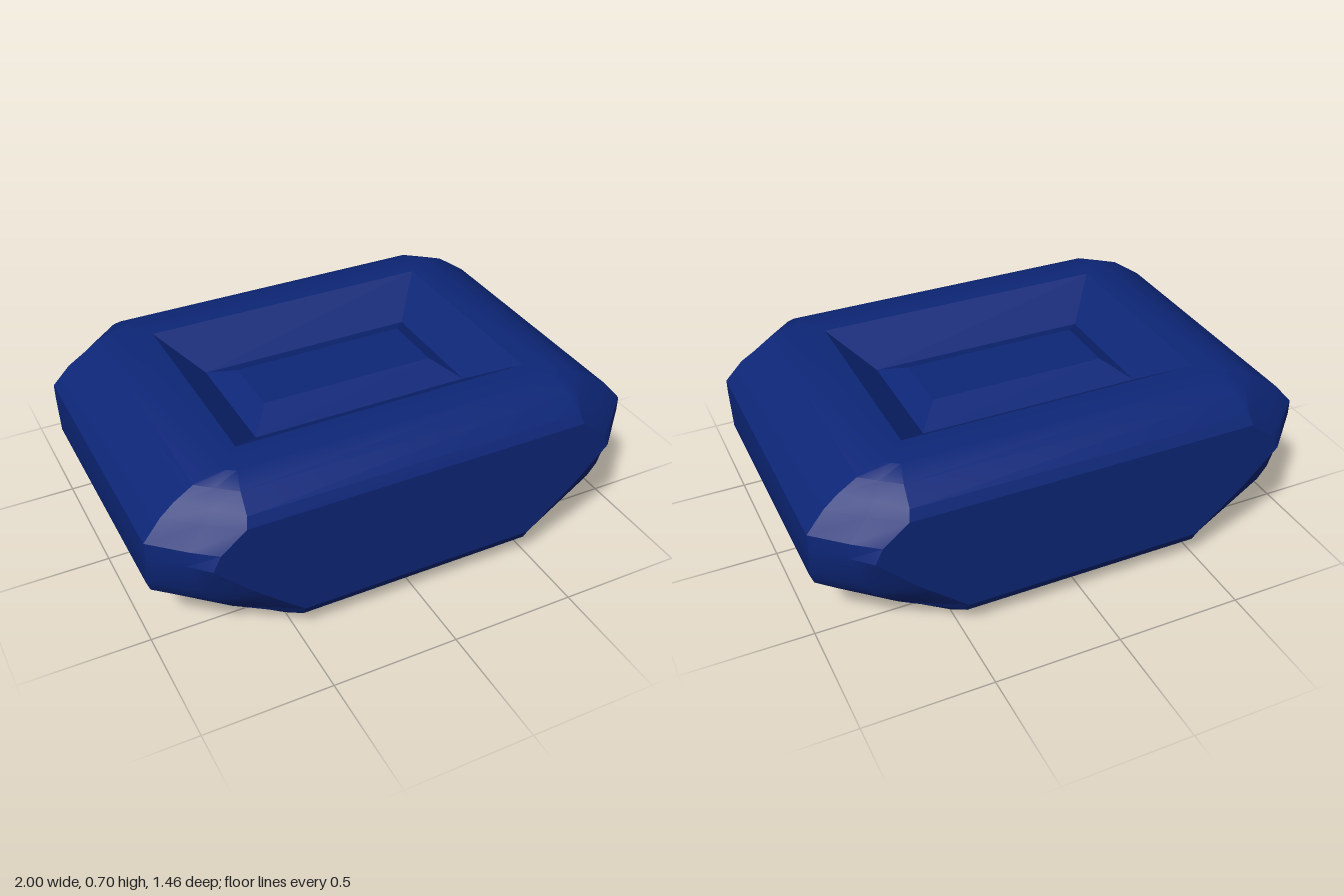
import * as THREE from 'three';
import { toCreasedNormals } from 'three/addons/utils/BufferGeometryUtils.js';

// Mirror the points of the +x +z corner into a full ring
function ring(y, corner) {
  const back = [...corner].reverse();
  const flip = (pts, sx, sz) => pts.map(([x, z]) => new THREE.Vector3(x * sx, y, z * sz));
  return [...flip(corner, 1, 1), ...flip(back, -1, 1), ...flip(corner, -1, -1), ...flip(back, 1, -1)];
}

// Skin a list of rings, optionally closing the first and last
function loft(rings, { capStart = false, capEnd = false, crease = 0.4 } = {}) {
  const pos = [];
  const tri = (a, b, c) => {
    if (new THREE.Triangle(a, b, c).getArea() > 1e-7) {
      for (const p of [a, b, c]) pos.push(p.x, p.y, p.z);
    }
  };
  const n = rings[0].length;
  for (let i = 0; i < rings.length - 1; i++) {
    for (let j = 0; j < n; j++) {
      const k = (j + 1) % n;
      const lo = rings[i], hi = rings[i + 1];
      tri(lo[j], hi[j], lo[k]);
      tri(lo[k], hi[j], hi[k]);
    }
  }
  const first = rings[0], last = rings[rings.length - 1];
  for (let j = 0; j < n; j++) {
    const k = (j + 1) % n;
    if (capStart) tri(new THREE.Vector3(0, first[0].y, 0), first[j], first[k]);
    if (capEnd) tri(new THREE.Vector3(0, last[0].y, 0), last[k], last[j]);
  }
  const geo = new THREE.BufferGeometry();
  geo.setAttribute('position', new THREE.Float32BufferAttribute(pos, 3));
  return toCreasedNormals(geo, crease);
}

export function createModel() {
  const group = new THREE.Group();
  const blue = new THREE.MeshStandardMaterial({ color: 0x0d2677 });
  blue.name = 'deep blue';
  const add = (name, geometry) => {
    const mesh = new THREE.Mesh(geometry, blue);
    mesh.name = name;
    group.add(mesh);
  };

  // Cut corner at each height: y, side point, corner point, front point
  const levels = [
    [0.00, [0.71, 0.40], [0.61, 0.50], [0.50, 0.59]],
    [0.09, [0.835, 0.42], [0.68, 0.57], [0.48, 0.71]],
    [0.13, [0.885, 0.44], [0.71, 0.60], [0.48, 0.73]],
    [0.24, [0.98, 0.50], [0.81, 0.65], [0.61, 0.73]],
    [0.30, [1.00, 0.52], [0.84, 0.66], [0.68, 0.73]],
    [0.44, [1.00, 0.55], [0.89, 0.66], [0.82, 0.73]],
    [0.50, [1.00, 0.55], [0.88, 0.66], [0.79, 0.73]],
    [0.58, [0.93, 0.54], [0.81, 0.64], [0.69, 0.73]],
    [0.62, [0.875, 0.53], [0.78, 0.62], [0.68, 0.71]],
    [0.67, [0.80, 0.53], [0.74, 0.58], [0.67, 0.635]],
    [0.70, [0.70, 0.52], [0.68, 0.54], [0.65, 0.56]],
  ];
  const opening = [0.60, 0.43], floor = [0.45, 0.25], table = [0.36, 0.13];

  // Faceted body with a flat rim reaching the recess opening
  const bodyRings = levels.map(([y, ...corner]) => ring(y, corner));
  bodyRings.push(ring(0.70, [opening, opening, opening]));
  add('body', loft(bodyRings, { capStart: true }));

  // Sloping walls of the top recess
  add('recessWalls', loft([ring(0.70, [opening]), ring(0.575, [floor])], { crease: 0.1 }));

  // Raised bevelled block inside the recess
  add('raisedCentre', loft([ring(0.575, [floor]), ring(0.63, [table])], { capEnd: true, crease: 0.1 }));

  return group;
}
